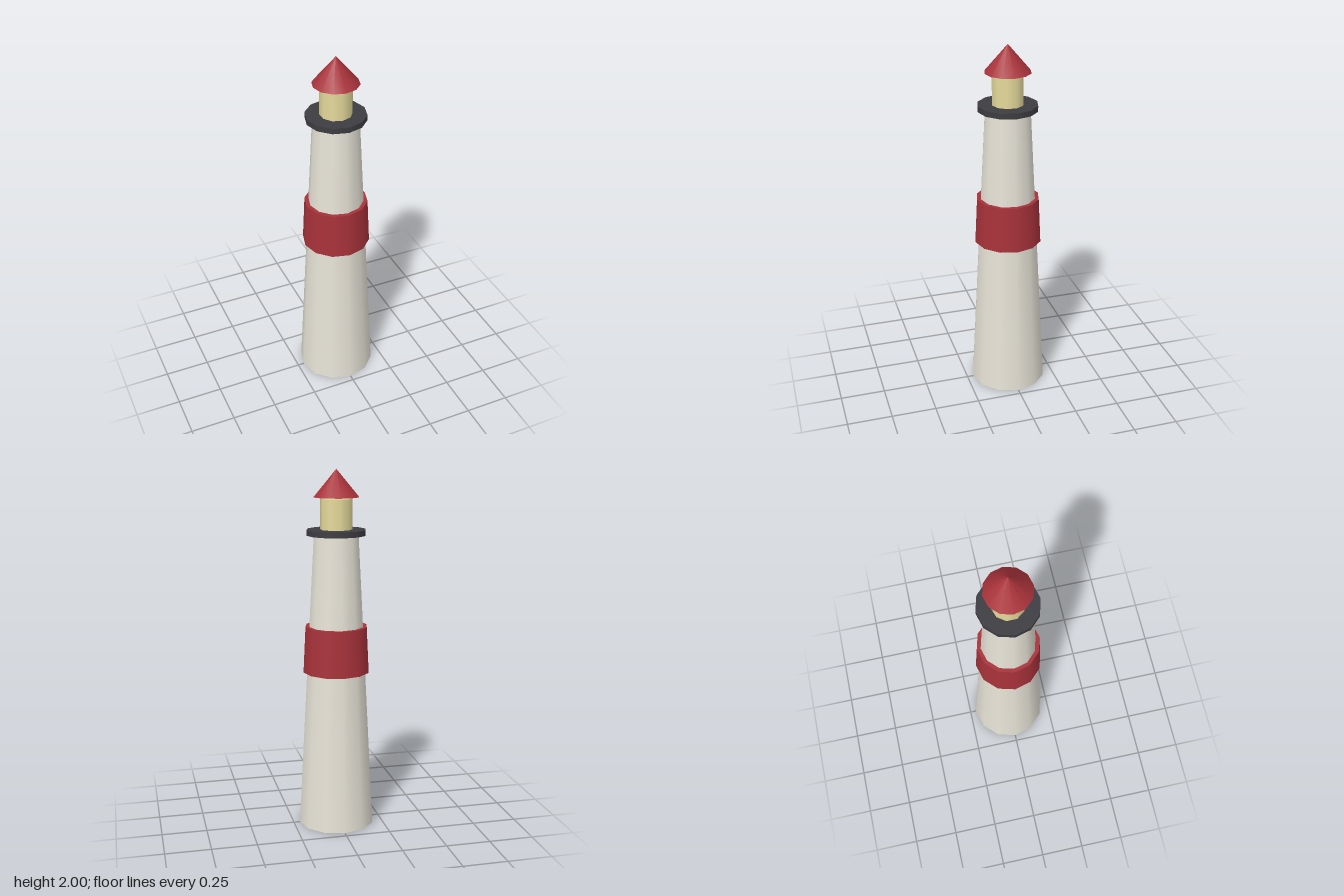
import * as THREE from 'three';

const material = (name, color) => {
  const m = new THREE.MeshStandardMaterial({ color });
  m.name = name;
  return m;
};

export function createModel() {
  const model = new THREE.Group();
  model.name = 'lighthouse';

  const white = material('warm white', 0xe8e4d8);
  const red = material('red', 0xa8323a);
  const dark = material('dark grey', 0x3c3c42);
  const glow = material('pale yellow', 0xe6da9c);

  // A round section standing between two heights
  const section = (name, mat, rBottom, rTop, y0, y1, sides = 12) => {
    const mesh = new THREE.Mesh(new THREE.CylinderGeometry(rTop, rBottom, y1 - y0, sides), mat);
    mesh.name = name;
    mesh.position.y = (y0 + y1) / 2;
    model.add(mesh);
  };

  section('tower', white, 0.215, 0.125, 0, 1.647);
  section('band', red, 0.187, 0.174, 0.889, 1.146);
  section('gallery', dark, 0.164, 0.164, 1.647, 1.678);
  section('lantern', glow, 0.087, 0.087, 1.678, 1.843, 10);

  // Pointed roof
  const roof = new THREE.Mesh(new THREE.ConeGeometry(0.126, 0.149, 12), red);
  roof.name = 'roof';
  roof.position.y = 1.9255;
  model.add(roof);

  return model;
}
